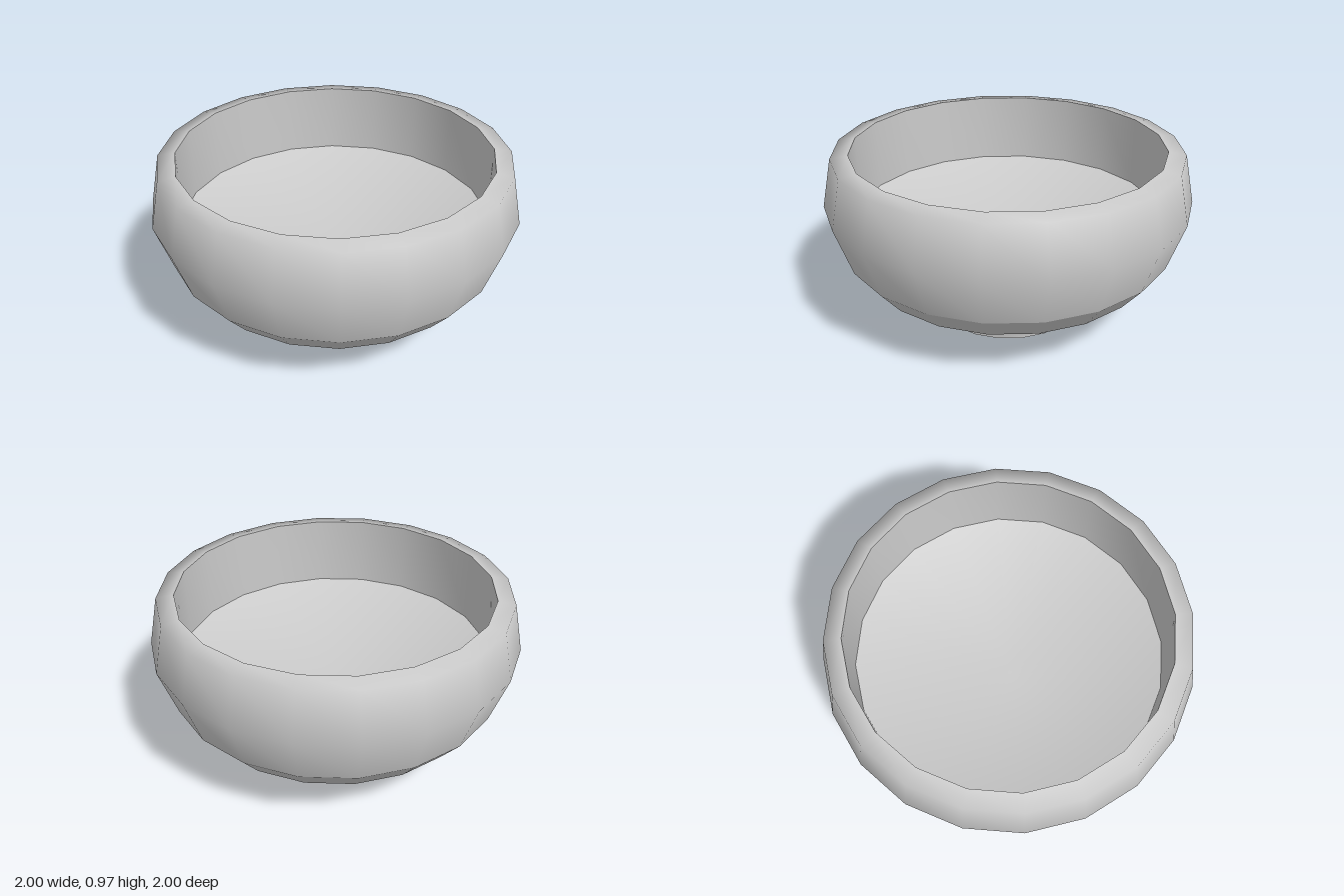
import * as THREE from 'three';
import { mergeVertices } from 'three/addons/utils/BufferGeometryUtils.js';

const SIDES = 20;

// Each section is smooth within itself; creases fall between sections.
// Profiles are [radius, height], ordered so that faces point outward.
const SECTIONS = {
  footBase: [[0, 0], [0.412, 0]],
  footAndUnderside: [[0.412, 0], [0.412, 0.12], [0.8, 0.287]],
  lowerBand: [[0.8, 0.287], [0.91, 0.422]],
  bodyAndRim: [[0.91, 0.422], [1, 0.69], [0.945, 0.955], [0.85, 0.97]],
  innerWall: [[0.85, 0.97], [0.85, 0.575]],
  // Shallow hollow sinking to the middle
  innerFloor: [[0.85, 0.575], [0, 0.29]],
};

// Lathe with shared vertices, so the shading has no seam or pinched centre
function turned(profile) {
  const points = profile.map(([r, y]) => new THREE.Vector2(r, y));
  const lathe = new THREE.LatheGeometry(points, SIDES);
  lathe.deleteAttribute('uv');
  lathe.deleteAttribute('normal');
  const geometry = mergeVertices(lathe);
  geometry.computeVertexNormals();
  return geometry;
}

export function createModel() {
  const bowl = new THREE.Group();
  bowl.name = 'bowl';
  const material = new THREE.MeshStandardMaterial({ color: 0xcccccc });

  for (const [name, profile] of Object.entries(SECTIONS)) {
    const mesh = new THREE.Mesh(turned(profile), material);
    mesh.name = name;
    bowl.add(mesh);
  }
  return bowl;
}
